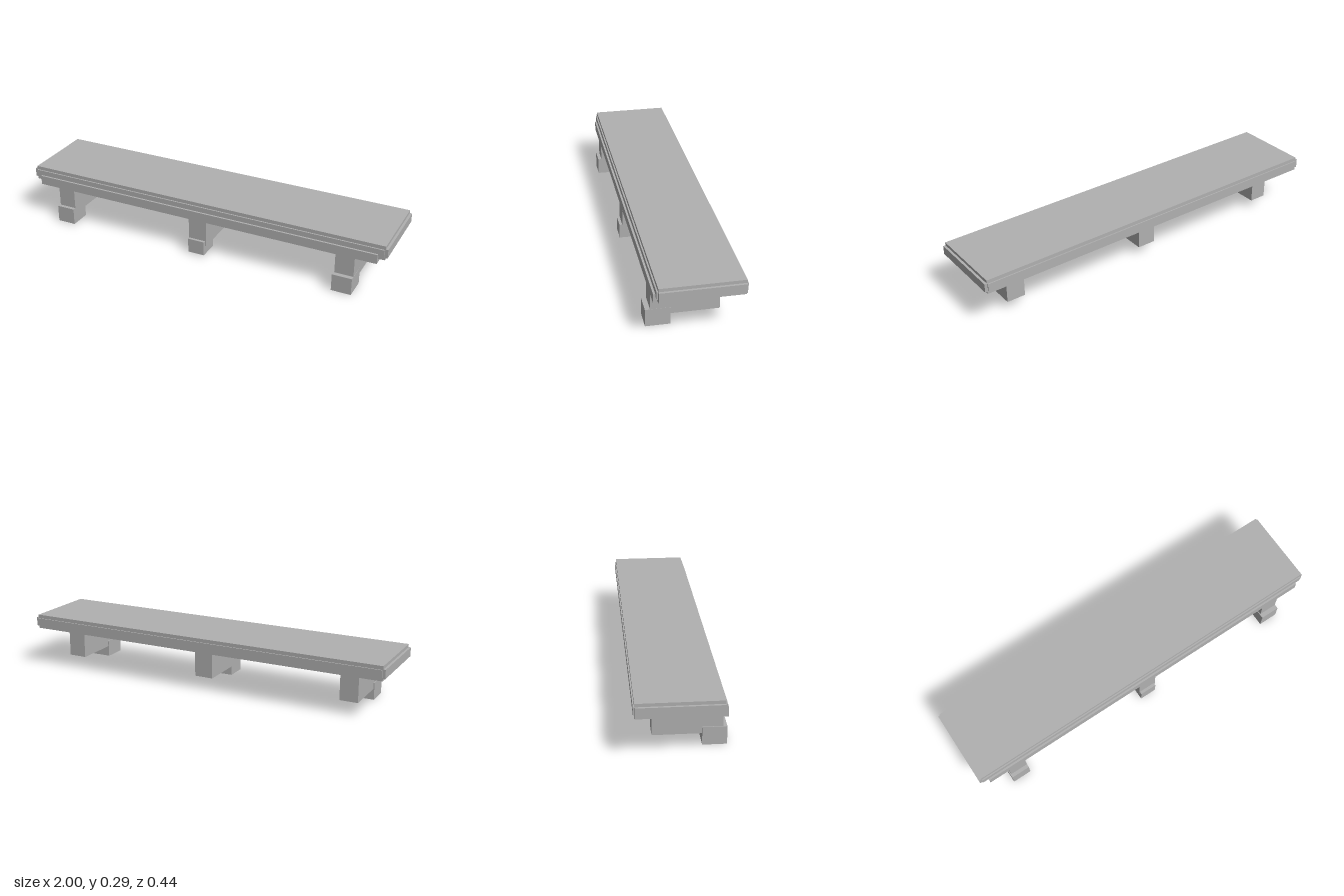
import * as THREE from 'three';

export function createModel() {
  const group = new THREE.Group();
  const grey = new THREE.MeshStandardMaterial({ color: 0xb0b0b0 });
  grey.name = 'plain grey';

  // Box given by its min and max along each axis
  const box = (name, [x0, x1], [y0, y1], [z0, z1], parent = group) => {
    const mesh = new THREE.Mesh(new THREE.BoxGeometry(x1 - x0, y1 - y0, z1 - z0), grey);
    mesh.position.set((x0 + x1) / 2, (y0 + y1) / 2, (z0 + z1) / 2);
    mesh.name = name;
    parent.add(mesh);
  };

  // Shelf board with raised bands on its edges
  box('shelfBoard', [-0.988, 0.988], [0.216, 0.291], [-0.214, 0.186]);
  box('frontBand', [-0.985, 0.985], [0.234, 0.272], [0.18, 0.193]);
  box('backBand', [-0.985, 0.985], [0.234, 0.272], [-0.22, -0.208]);
  box('leftEndBand', [0.98, 1], [0.229, 0.275], [-0.214, 0.186]);
  box('rightEndBand', [-1, -0.98], [0.229, 0.275], [-0.214, 0.186]);

  // Rail under the front edge
  box('frontRail', [-0.955, 0.955], [0.196, 0.245], [0.153, 0.203]);

  // Three brackets, each with a block foot at the front
  const supports = [
    { name: 'rightSupport', beam: [-0.845, -0.75], foot: [-0.85, -0.75], bottom: 0, top: 0.09, front: 0.216 },
    { name: 'middleSupport', beam: [-0.05, 0.05], foot: [-0.047, 0.043], bottom: 0.007, top: 0.084, front: 0.212 },
    { name: 'leftSupport', beam: [0.747, 0.845], foot: [0.743, 0.846], bottom: 0, top: 0.09, front: 0.221 },
  ];
  for (const s of supports) {
    const support = new THREE.Group();
    support.name = s.name;
    box('bracket', s.beam, [0.057, 0.22], [-0.13, 0.197], support);
    box('foot', s.foot, [s.bottom, s.top], [0.101, s.front], support);
    group.add(support);
  }
  return group;
}
